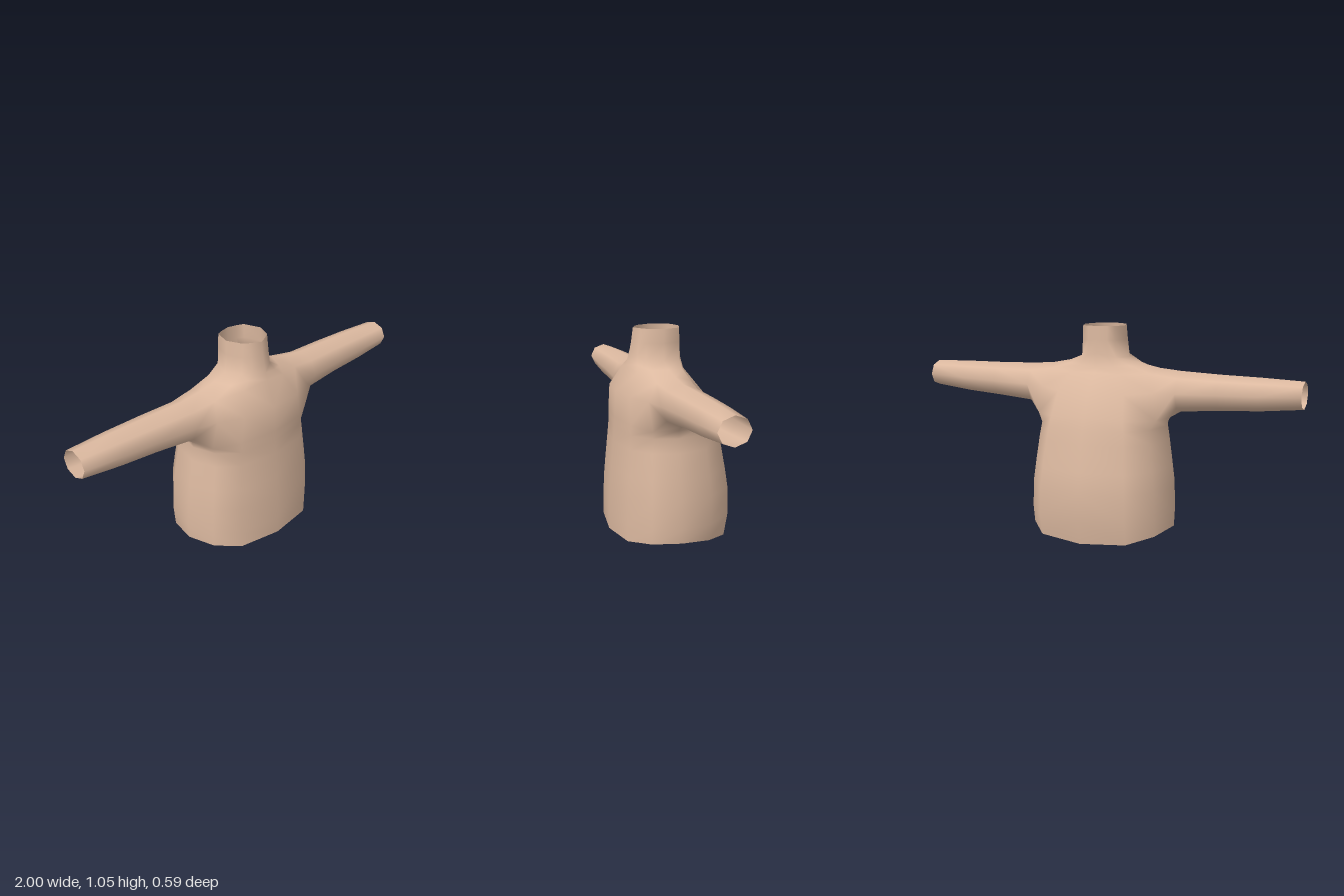
import * as THREE from 'three';
import { mergeVertices } from 'three/addons/utils/BufferGeometryUtils.js';

// Torso levels: height, half width, front z, back z
const torsoLevels = [
  [0.12, 0.378, 0.297, -0.296],
  [0.26, 0.373, 0.29, -0.296],
  [0.36, 0.36, 0.282, -0.281],
  [0.49, 0.342, 0.27, -0.257],
  [0.56, 0.33, 0.265, -0.24],
];
const hemHeights = [0.033, 0.039, 0.049, 0.053, 0.035, 0.013, 0.002];

// Seven points of a half ring, from front centre round the side to back centre
function halfRing(w, front, back, heightAt) {
  const xs = [0, 0.6, 0.88, 1, 0.88, 0.6, 0];
  const zs = [1, 0.88, 0.53, 0, 0.5, 0.88, 1];
  return xs.map((x, j) => [x * w, heightAt(j), 0.04 + ((j < 3 ? front : back) - 0.04) * zs[j]]);
}

// Chest and shoulder rows; the armhole spans three rows and columns 2 to 4
const chestRows = [
  [[0, 0.61, 0.261], [0.2, 0.61, 0.238], [0.318, 0.6, 0.165], [0.342, 0.603, 0.045], [0.318, 0.605, -0.085], [0.19, 0.61, -0.195], [0, 0.62, -0.225]],
  [[0, 0.742, 0.255], [0.18, 0.742, 0.236], [0.3, 0.74, 0.18], null, [0.3, 0.74, -0.075], [0.175, 0.73, -0.15], [0, 0.725, -0.178]],
  [[0, 0.865, 0.202], [0.13, 0.845, 0.183], [0.27, 0.82, 0.13], [0.29, 0.847, 0.045], [0.27, 0.825, -0.035], [0.13, 0.82, -0.085], [0, 0.825, -0.1]],
];
const neckRows = [
  [[0, 0.9, 0.192], [0.09, 0.88, 0.167], [0.16, 0.862, 0.125], [0.195, 0.866, 0.045], [0.16, 0.86, -0.035], [0.09, 0.855, -0.065], [0, 0.85, -0.078]],
  [[0, 0.94, 0.181], [0.06, 0.92, 0.16], [0.094, 0.902, 0.125], [0.127, 0.894, 0.045], [0.092, 0.897, -0.043], [0.053, 0.905, -0.062], [0, 0.915, -0.071]],
  [[0, 0.985, 0.172], [0.054, 0.982, 0.15], [0.085, 0.98, 0.123], [0.116, 0.98, 0.043], [0.086, 0.98, -0.045], [0.05, 0.98, -0.06], [0, 0.98, -0.07]],
  [[0, 1.05, 0.163], [0.05, 1.05, 0.138], [0.08, 1.05, 0.118], [0.113, 1.05, 0.04], [0.084, 1.05, -0.045], [0.05, 1.05, -0.058], [0, 1.05, -0.07]],
];

// Sleeve rings: x, centre y, centre z, half height, half depth
const sleeveRings = [
  [0.4, 0.737, 0.05, 0.1, 0.105],
  [0.6, 0.743, 0.043, 0.088, 0.098],
  [0.8, 0.748, 0.044, 0.08, 0.09],
  [1.0, 0.755, 0.046, 0.066, 0.076],
];

function buildGarment() {
  const positions = [];
  // Adds a quad and its mirror image
  const quad = (a, b, c, d) => {
    for (const p of [a, b, c, a, c, d]) positions.push(...p);
    for (const p of [a, c, b, a, d, c]) positions.push(-p[0], p[1], p[2]);
  };

  // Torso, shoulders and neck
  const rows = [
    halfRing(0.375, 0.297, -0.275, (j) => hemHeights[j]),
    ...torsoLevels.map(([y, w, f, b]) => halfRing(w, f, b, () => y)),
    ...chestRows, ...neckRows,
  ];
  const first = 1 + torsoLevels.length;
  for (let r = 0; r < rows.length - 1; r++) {
    for (let j = 0; j < 6; j++) {
      const armhole = r >= first && r < first + 2 && (j === 2 || j === 3);
      if (!armhole) quad(rows[r][j], rows[r][j + 1], rows[r + 1][j + 1], rows[r + 1][j]);
    }
  }

  // Sleeves grow from the eight points of the armhole
  const [low, mid, high] = chestRows;
  const rings = [[low[2], low[3], low[4], mid[4], high[4], high[3], high[2], mid[2]]];
  for (const [x, cy, cz, ry, rz] of sleeveRings) {
    rings.push(Array.from({ length: 8 }, (_, k) => {
      const t = -(k + 1) * Math.PI / 4;
      return [x, cy + ry * Math.sin(t), cz + rz * Math.cos(t)];
    }));
  }
  for (let i = 0; i < rings.length - 1; i++) {
    for (let k = 0; k < 8; k++) {
      const n = (k + 1) % 8;
      quad(rings[i][k], rings[i][n], rings[i + 1][n], rings[i + 1][k]);
    }
  }

  const soup = new THREE.BufferGeometry();
  soup.setAttribute('position', new THREE.Float32BufferAttribute(positions, 3));
  const geometry = mergeVertices(soup, 1e-4);
  geometry.computeVertexNormals();
  return geometry;
}

export function createModel() {
  const group = new THREE.Group();
  group.name = 'longSleevedTop';
  const fabric = new THREE.MeshStandardMaterial({ color: 0xdcb9a0, side: THREE.DoubleSide });
  fabric.name = 'beige fabric';

  // One seamless open shell: torso, sleeves and neck
  const shell = new THREE.Mesh(buildGarment(), fabric);
  shell.name = 'torsoWithSleevesAndNeck';
  group.add(shell);
  return group;
}
